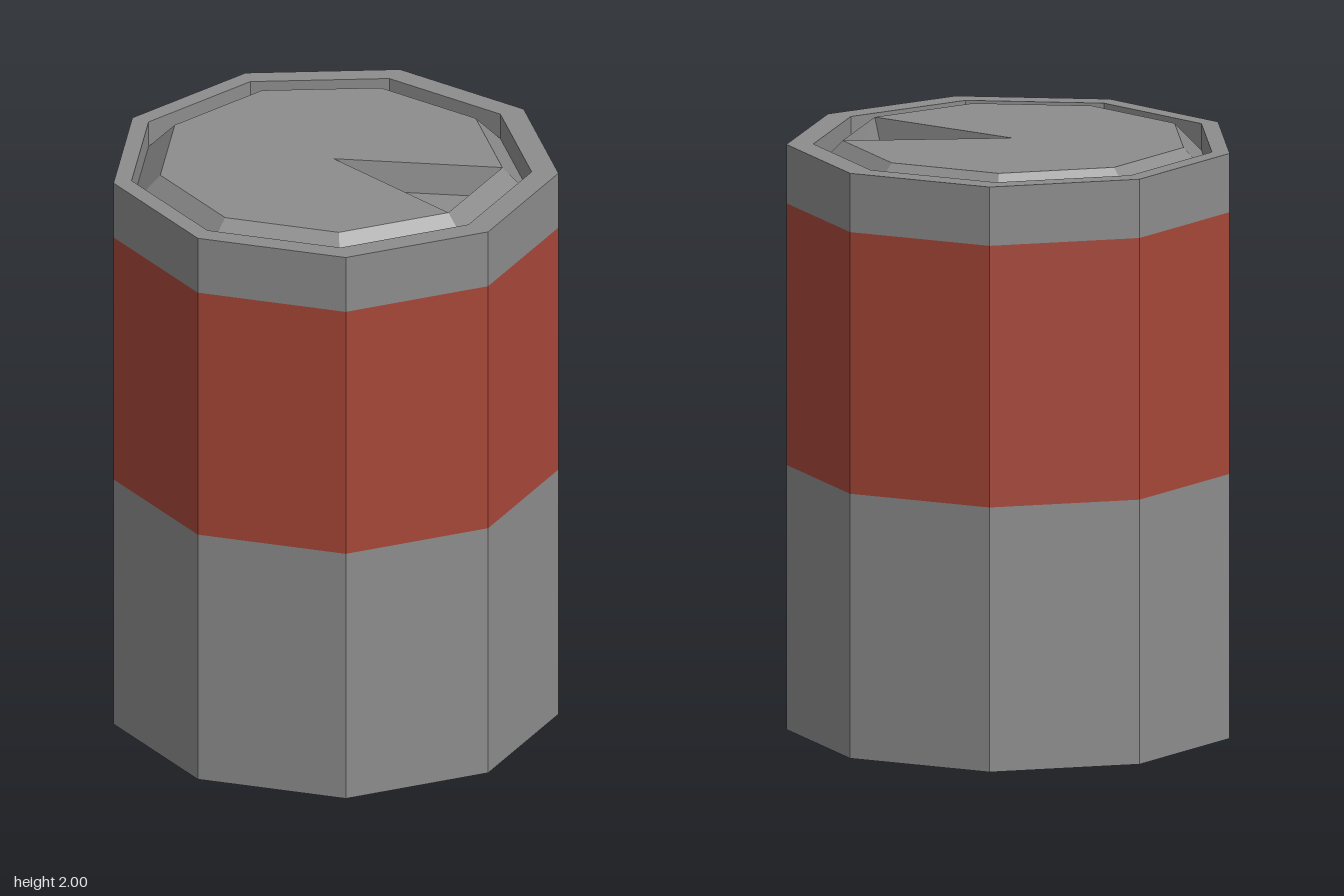
import * as THREE from 'three';

const SIDES = 9, BODY_X = -0.023, LID_X = -0.037;
const R_BODY = 0.753, R_RIM = 0.677, R_LID = 0.579;
const RIM_Y = 1.99, LID_Y = 2.0, FLOOR_Y = 1.9;

const steel = new THREE.MeshStandardMaterial({ name: 'steel grey', color: 0x8c8c8c, flatShading: true });
const red = new THREE.MeshStandardMaterial({ name: 'band red', color: 0xa64638, flatShading: true });

// Corner i of a nine-sided ring as [x, z]
function corner(r, cx, i) {
  const a = (i / SIDES) * Math.PI * 2;
  return [cx + r * Math.cos(a), r * Math.sin(a)];
}
const ring = (r, cx) => Array.from({ length: SIDES }, (_, i) => corner(r, cx, i));
const to2D = (pts) => pts.map(([x, z]) => new THREE.Vector2(x, -z));

// Flat horizontal face looking up
function flatFace(shape, y) {
  return new THREE.ShapeGeometry(shape).rotateX(-Math.PI / 2).translate(0, y, 0);
}

export function createModel() {
  const group = new THREE.Group();
  group.name = 'barrel';
  const add = (name, geometry, material) => {
    const mesh = new THREE.Mesh(geometry, material);
    mesh.name = name;
    group.add(mesh);
  };

  // Side wall in three stacked bands
  const bands = [
    ['lowerWall', 0, 0.9, steel],
    ['redBand', 0.9, 1.79, red],
    ['upperWall', 1.79, RIM_Y, steel],
  ];
  for (const [name, y0, y1, material] of bands) {
    const g = new THREE.CylinderGeometry(R_BODY, R_BODY, y1 - y0, SIDES, 1, true, Math.PI / 2);
    add(name, g.translate(BODY_X, (y0 + y1) / 2, 0), material);
  }

  // Base
  add('base', new THREE.CircleGeometry(R_BODY, SIDES).rotateX(Math.PI / 2).translate(BODY_X, 0, 0), steel);

  // Flat rim around the top
  const rim = new THREE.Shape(to2D(ring(R_BODY, BODY_X)));
  rim.holes.push(new THREE.Path(to2D(ring(R_RIM, LID_X))));
  add('rim', flatFace(rim, RIM_Y), steel);

  // Groove: straight wall inside the rim, then a slope up to the lid
  const profile = [[R_RIM, RIM_Y], [R_RIM, FLOOR_Y], [R_LID, LID_Y]].map(([x, y]) => new THREE.Vector2(x, y));
  add('groove', new THREE.LatheGeometry(profile, SIDES, Math.PI / 2).translate(LID_X, 0, 0), steel);

  // Lid with one wedge left out
  const apex = [BODY_X, 0];
  const edge = ring(R_LID, LID_X);
  add('lid', flatFace(new THREE.Shape(to2D([apex, ...edge.slice(1), edge[0]])), LID_Y), steel);

  // Sunken wedge opening: three tapering walls and a floor
  const top = [apex, edge[0], edge[1]].map(([x, z]) => [x, LID_Y, z]);
  const low = [[0.01, 0.022], [0.508, 0.022], [0.387, 0.348]].map(([x, z]) => [x, FLOOR_Y, z]);
  const faces = [low[0], low[2], low[1]];
  for (let i = 0; i < 3; i++) {
    const j = (i + 1) % 3;
    faces.push(top[i], low[i], top[j], top[j], low[i], low[j]);
  }
  const wedge = new THREE.BufferGeometry();
  wedge.setAttribute('position', new THREE.Float32BufferAttribute(faces.flat(), 3));
  wedge.computeVertexNormals();
  add('wedgeOpening', wedge, steel);

  return group;
}
